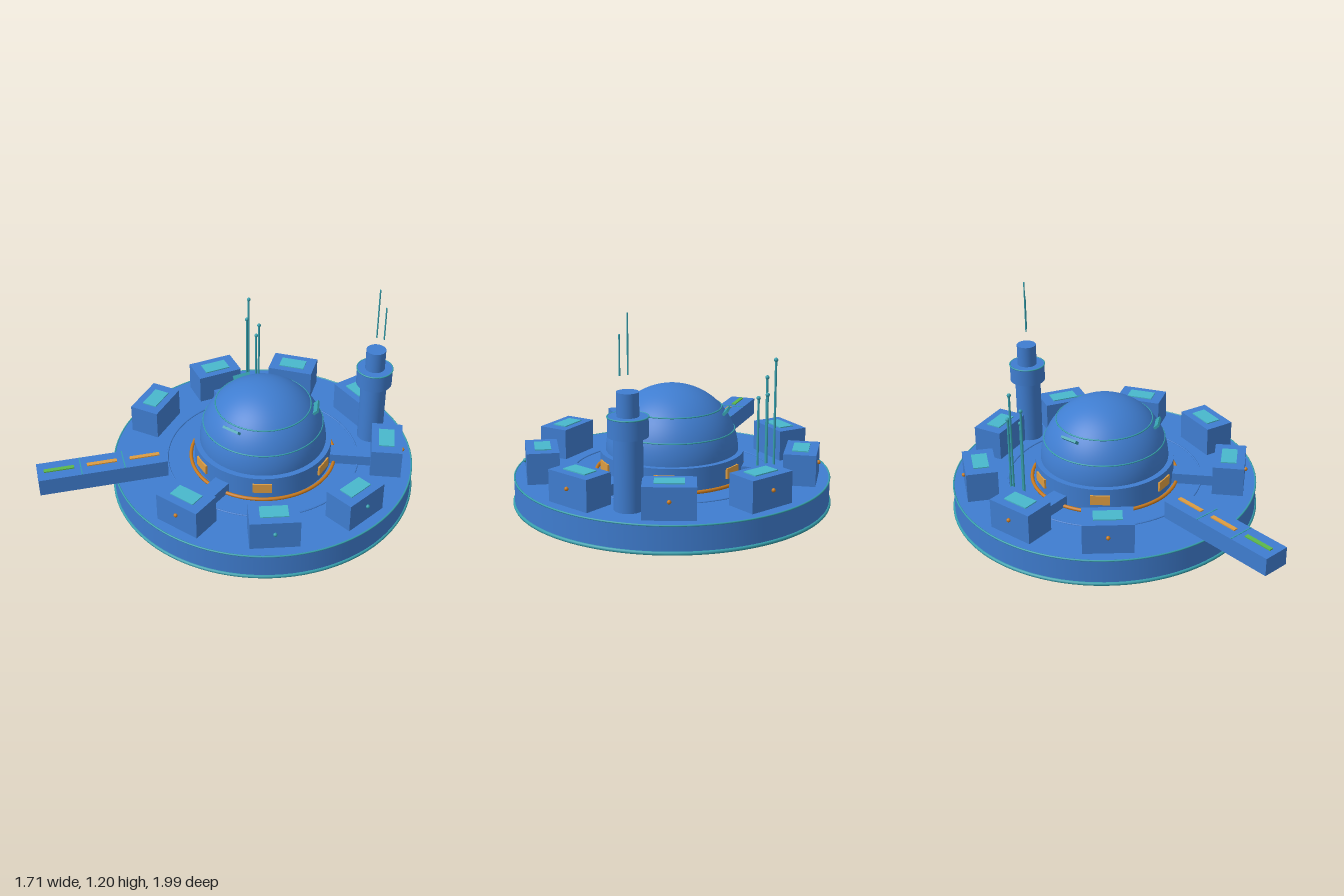
import * as THREE from 'three';

const mat = (name, color) => {
  const m = new THREE.MeshStandardMaterial({ color });
  m.name = name;
  return m;
};

export function createModel() {
  const hull = mat('hull blue', 0x3f7dd0);
  const teal = mat('trim teal', 0x36a0ae);
  const pad = mat('roof pad cyan', 0x48b8cc);
  const orange = mat('ring orange', 0xc87a1e);
  const glow = mat('window amber', 0xdc9c42);
  const green = mat('signal green', 0x5cb84c);

  const model = new THREE.Group();
  model.name = 'station';
  const station = new THREE.Group();
  station.name = 'stationBody';
  station.position.z = -0.145;
  model.add(station);

  const add = (parent, name, geo, material, x = 0, y = 0, z = 0) => {
    const m = new THREE.Mesh(geo, material);
    m.name = name;
    m.position.set(x, y, z);
    parent.add(m);
    return m;
  };
  const box = (w, h, d) => new THREE.BoxGeometry(w, h, d);
  // upright cylinder between two heights
  const column = (parent, name, r, y0, y1, material, x = 0, z = 0, seg = 48) =>
    add(parent, name, new THREE.CylinderGeometry(r, r, y1 - y0, seg), material, x, (y0 + y1) / 2, z);
  const ring = (name, r, tube, y, material, x = 0, z = 0) => {
    const m = add(station, name, new THREE.TorusGeometry(r, tube, 8, 96), material, x, y, z);
    m.rotation.x = Math.PI / 2;
    return m;
  };
  // group whose local +x points outward at the given angle
  const spoke = (name, deg) => {
    const g = new THREE.Group();
    g.name = name;
    g.rotation.y = -THREE.MathUtils.degToRad(deg);
    station.add(g);
    return g;
  };

  // main platform with rims
  column(station, 'platform', 0.845, 0.08, 0.23, hull, 0, 0, 96);
  ring('lowerRim', 0.845, 0.01, 0.09, teal);
  ring('upperRim', 0.843, 0.005, 0.228, teal);
  ring('deckRing', 0.54, 0.005, 0.231, hull);

  // central sphere, collar and bands
  add(station, 'dome', new THREE.SphereGeometry(0.355, 64, 40), hull, 0, 0.355, 0);
  column(station, 'domeCollar', 0.385, 0.23, 0.36, hull, 0, 0, 64);
  ring('collarRing', 0.407, 0.01, 0.238, orange);
  for (const y of [0.475, 0.592]) {
    ring('domeBand', Math.sqrt(0.355 ** 2 - (y - 0.355) ** 2), 0.004, y, teal);
  }

  // amber collar windows
  for (let i = 0; i < 6; i++) {
    add(spoke('collarWindowMount', 45 + i * 60), 'collarWindow', box(0.02, 0.055, 0.105), glow, 0.382, 0.298, 0);
  }

  // dome fins and low corridors share three directions
  for (const deg of [80, 200, 320]) {
    const g = spoke('corridorArm', deg);
    add(g, 'domeFin', box(0.045, 0.014, 0.1), teal, 0.288, 0.573, 0).rotation.z = 0.75;
    add(g, 'corridor', box(0.24, 0.06, 0.09), hull, 0.5, 0.26, 0);
  }

  // ring of modules, leaving one gap for the dock
  for (let deg = 0; deg < 360; deg += 40) {
    if (deg === 120) continue;
    const g = spoke('module', deg);
    add(g, 'moduleBody', box(0.17, 0.167, 0.265), hull, 0.695, 0.3135, 0);
    add(g, 'roofPad', box(0.085, 0.007, 0.15), pad, 0.692, 0.3995, 0);
    add(g, 'moduleLight', new THREE.SphereGeometry(0.011, 12, 8), deg < 80 ? teal : orange, 0.785, 0.325, 0);
  }

  // docking arm of three segments
  const dock = spoke('dockingArm', 120);
  for (let i = 0; i < 3; i++) {
    const x = 0.677 + i * 0.236;
    add(dock, 'dockSegment', box(0.236, 0.1, 0.15), hull, x, 0.29, 0);
    add(dock, 'dockStrip', box(0.165, 0.007, 0.024), i < 2 ? glow : green, x, 0.343, 0);
    if (i) add(dock, 'dockSeam', box(0.006, 0.004, 0.15), teal, x - 0.118, 0.3405, 0);
  }

  // control tower with its two aerials
  const tx = 0.305, tz = -0.575;
  column(station, 'towerColumn', 0.073, 0.23, 0.6, hull, tx, tz);
  column(station, 'towerCabin', 0.1, 0.6, 0.7, hull, tx, tz);
  column(station, 'towerTop', 0.055, 0.7, 0.82, hull, tx, tz);
  ring('cabinTrim', 0.1, 0.004, 0.698, teal, tx, tz);
  column(station, 'towerAerial', 0.004, 0.9, 1.2, teal, 0.303, -0.572, 8);
  column(station, 'towerAerial', 0.004, 0.9, 1.1, teal, 0.344, -0.586, 8);

  // antenna cluster: x, z, top
  for (const [x, z, top] of [
    [-0.475, -0.348, 0.9], [-0.443, -0.302, 0.8], [-0.426, -0.385, 0.73], [-0.393, -0.33, 0.7],
  ]) {
    column(station, 'antennaMast', 0.006, 0.23, top, teal, x, z, 10);
    add(station, 'antennaTip', new THREE.SphereGeometry(0.011, 12, 8), teal, x, top, z);
  }

  return model;
}
